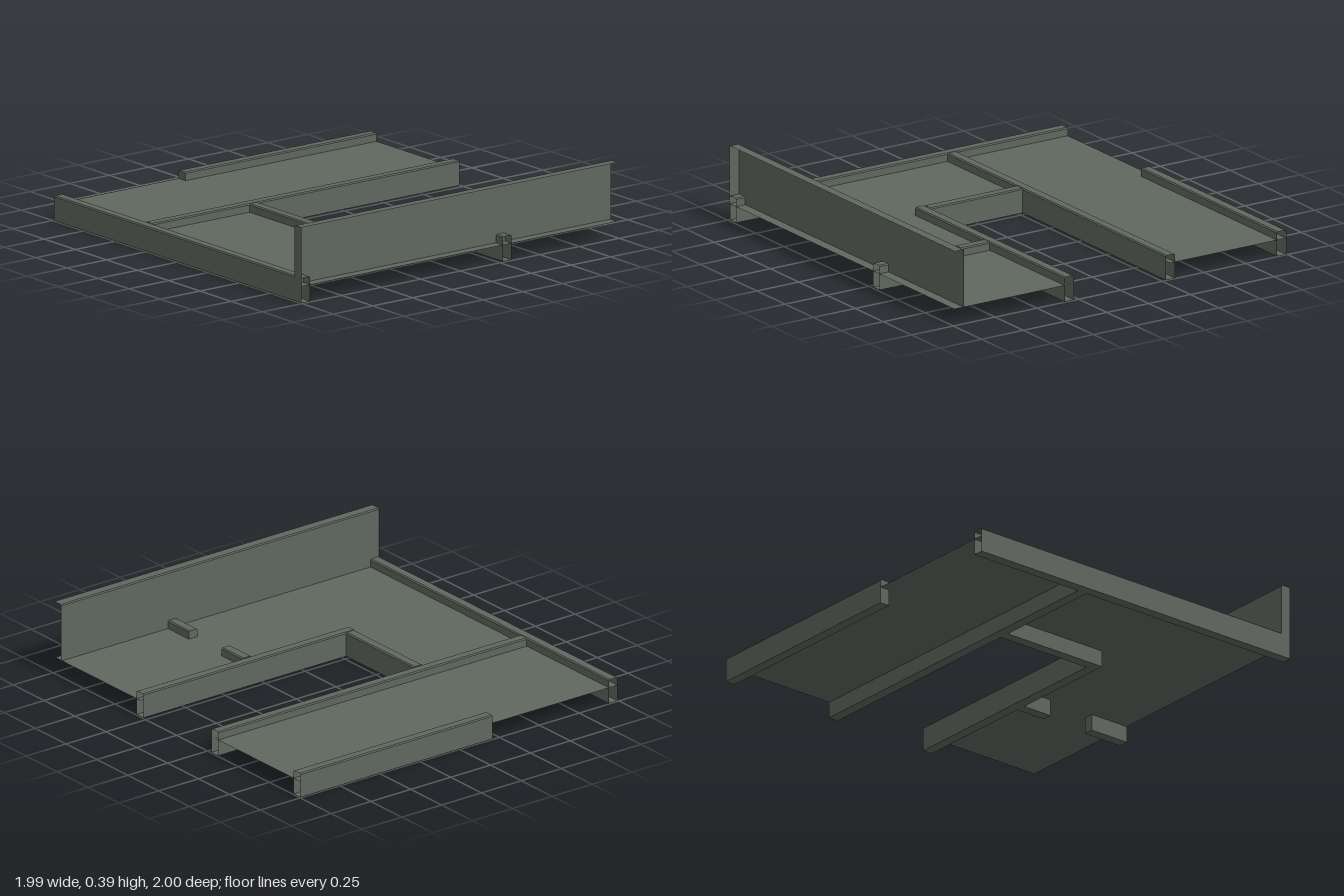
import * as THREE from 'three';

export function createModel() {
  const group = new THREE.Group();
  const grey = new THREE.MeshStandardMaterial({ color: 0x60685f, side: THREE.DoubleSide });
  grey.name = 'grey green';
  const E = 0.995, FLOOR = 0.085, TOP = 0.128, HALF = 0.0275, BEVEL = 0.006;

  const add = (name, geometry) => {
    const mesh = new THREE.Mesh(geometry, grey);
    mesh.name = name;
    group.add(mesh);
    return mesh;
  };

  // Sweeps a profile (x, y pairs) along z from a to b, leaving the ends open
  function sweep(profile, a, b, closed) {
    const pos = [];
    const count = closed ? profile.length : profile.length - 1;
    for (let i = 0; i < count; i++) {
      const [x, y] = profile[i], [u, v] = profile[(i + 1) % profile.length];
      pos.push(x, y, a, u, v, a, u, v, b, x, y, a, u, v, b, x, y, b);
    }
    const g = new THREE.BufferGeometry();
    g.setAttribute('position', new THREE.Float32BufferAttribute(pos, 3));
    g.computeVertexNormals();
    return g;
  }

  const shapeOf = (points) => new THREE.Shape(points.map(([x, y]) => new THREE.Vector2(x, y)));

  // Hollow low beam with eased top edges; cap: 'start', 'end' or none
  const section = [[-HALF, 0], [HALF, 0], [HALF, TOP - BEVEL], [HALF - BEVEL, TOP],
    [BEVEL - HALF, TOP], [-HALF, TOP - BEVEL]];
  function beam(name, axis, center, a, b, cap) {
    const part = new THREE.Group();
    part.name = name;
    part.add(new THREE.Mesh(sweep(section, a, b, true), grey));
    if (cap) {
      const plate = new THREE.ShapeGeometry(shapeOf(section));
      if (cap === 'start') plate.rotateY(Math.PI);
      part.add(new THREE.Mesh(plate.translate(0, 0, cap === 'start' ? a : b), grey));
    }
    if (axis === 'x') {
      part.rotation.y = Math.PI / 2;
      part.position.z = center;
    } else part.position.x = center;
    group.add(part);
  }

  // U-shaped floor sheet, drawn in x and -z
  const floor = new THREE.ShapeGeometry(shapeOf([
    [-E, -E], [0.99, -E], [0.99, E], [0.3, E], [0.3, -0.3], [-0.3, -0.3], [-0.3, E], [-E, E],
  ]));
  add('floor', floor.rotateX(-Math.PI / 2)).position.y = FLOOR;

  // Low beams around the edges and the slot
  beam('frontBeam', 'x', 0.9675, -E, 0.99);
  beam('rightEdgeBeam', 'z', -0.9675, -E, 0.21, 'end');
  beam('slotRightBeam', 'z', -0.3025, -E, 0.94);
  beam('slotLeftBeam', 'z', 0.3025, -E, 0.33, 'end');
  beam('slotEndBeam', 'x', 0.3025, -0.275, 0.275);

  // Short facing stubs
  beam('innerStub', 'x', -0.3025, 0.33, 0.5, 'end');
  beam('outerStub', 'x', -0.3025, 0.765, 0.99, 'start');

  // Tall side rail, open on its outer face and at the back
  const rail = [[0.99, 0.388], [0.941, 0.388], [0.935, 0.382], [0.935, FLOOR]];
  add('tallRail', sweep(rail, -1, E, false));
  add('tallRailFrontCap', new THREE.ShapeGeometry(shapeOf([...rail, [0.99, FLOOR]]))).position.z = E + 0.001;

  return group;
}
